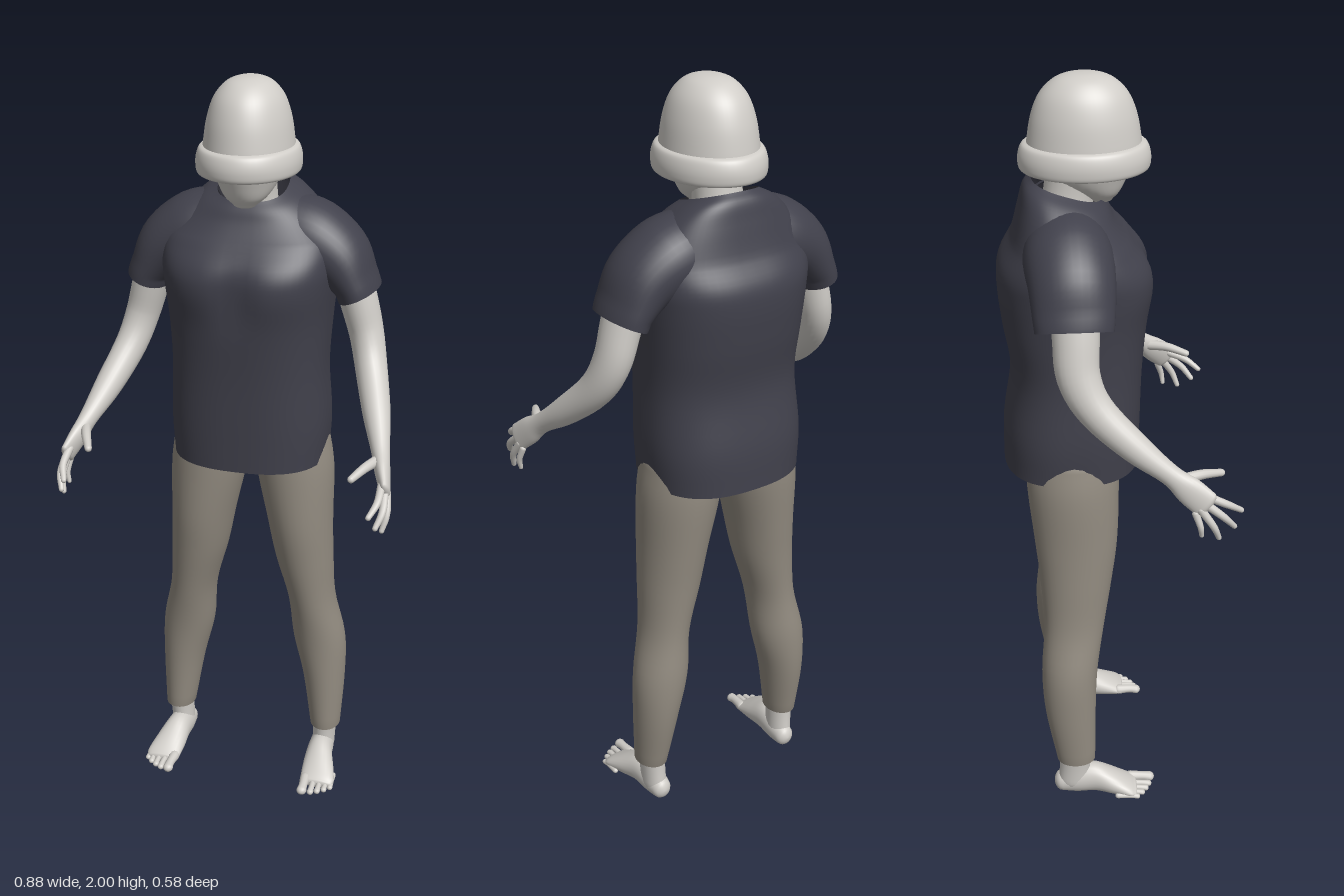
import * as THREE from 'three';

const V3 = (x, y, z) => new THREE.Vector3(x, y, z);
const mat = (name, color, side = THREE.FrontSide) => {
  const m = new THREE.MeshStandardMaterial({ color, side });
  m.name = name;
  return m;
};

// Smooth skin over cross-sections [x, y, z, halfWidth, halfDepth].
// ref: direction of halfWidth; axis: fixed section normal (else follows the path);
// caps: bulge of the start and end caps (null = open); power: squareness of the section.
function loft(rings, { ref = V3(1, 0, 0), axis = null, caps = [1, 1], seg = 24, sub = 5, power = 2, warp = null } = {}) {
  const path = new THREE.CatmullRomCurve3(rings.map(r => V3(r[0], r[1], r[2])), false, 'catmullrom');
  const size = new THREE.CatmullRomCurve3(rings.map(r => V3(r[3], r[4], 0)), false, 'catmullrom');
  const n = (rings.length - 1) * sub;
  const frames = [];
  for (let i = 0; i <= n; i++) {
    const t = i / n, s = size.getPoint(t);
    frames.push({ c: path.getPoint(t), T: axis ? axis.clone() : path.getTangent(t), a: s.x, b: s.y });
  }
  const capRings = (f, sign, bulge) => [0.35, 0.7, 1.05, 1.35, 1.56].map(p => ({
    c: f.c.clone().addScaledVector(f.T, sign * bulge * Math.min(f.a, f.b) * Math.sin(p)),
    T: f.T, a: f.a * Math.cos(p), b: f.b * Math.cos(p),
  }));
  const first = frames[0], last = frames[n];
  if (caps[0] !== null) frames.unshift(...capRings(first, -1, caps[0]).reverse());
  if (caps[1] !== null) frames.push(...capRings(last, 1, caps[1]));

  const pos = [], index = [];
  const bend = v => Math.sign(v) * Math.pow(Math.abs(v), 2 / power);
  frames.forEach((f, i) => {
    const U = ref.clone().addScaledVector(f.T, -ref.dot(f.T)).normalize();
    const W = f.T.clone().cross(U);
    for (let j = 0; j < seg; j++) {
      const th = j / seg * Math.PI * 2;
      const p = f.c.clone().addScaledVector(U, f.a * bend(Math.cos(th))).addScaledVector(W, f.b * bend(Math.sin(th)));
      if (warp) warp(p);
      pos.push(p.x, p.y, p.z);
      if (i === frames.length - 1) continue;
      const k = (j + 1) % seg, a = i * seg + j, b = i * seg + k;
      index.push(a, b, b + seg, a, b + seg, a + seg);
    }
  });
  const g = new THREE.BufferGeometry();
  g.setAttribute('position', new THREE.Float32BufferAttribute(pos, 3));
  g.setIndex(index);
  g.computeVertexNormals();
  return g;
}

export function createModel() {
  const root = new THREE.Group();
  root.name = 'standingFigure';
  const pale = mat('paleSkin', 0xd0cdc8, THREE.DoubleSide);
  const navy = mat('darkShirt', 0x41414c, THREE.DoubleSide);
  const taupe = mat('taupeTrousers', 0x928b80);
  const add = (name, geo, m, parent = root) => {
    const mesh = new THREE.Mesh(geo, m);
    mesh.name = name;
    parent.add(mesh);
  };
  const Y = V3(0, 1, 0), Z = V3(0, 0, 1);

  // Shirt body: collar tilts forward, chest dips in the middle
  add('shirtBody', loft([
    [0, 0.99, -0.113, 0.207, 0.177], [0, 1.1, -0.11, 0.213, 0.177], [0, 1.25, -0.097, 0.206, 0.169],
    [0, 1.38, -0.1, 0.212, 0.184], [0, 1.48, -0.097, 0.222, 0.197], [0, 1.54, -0.1, 0.228, 0.188],
    [0, 1.6, -0.107, 0.222, 0.148], [0, 1.66, -0.115, 0.178, 0.12], [0, 1.7, -0.117, 0.132, 0.105],
    [0, 1.722, -0.115, 0.09, 0.086],
  ], {
    axis: Y, caps: [null, null], seg: 64, power: 2.5,
    warp: p => {
      if (p.z > -0.08) p.z -= 0.018 * Math.exp(-((p.x / 0.05) ** 2) - ((p.y - 1.48) / 0.08) ** 2);
      if (p.y > 1.6) p.y -= (p.z + 0.115) * 0.3 * (p.y - 1.6) / 0.12;
    },
  }), navy);

  // Hips inside the shirt hem
  add('trouserHips', loft([[0, 0.97, -0.115, 0.19, 0.115], [0, 1.04, -0.113, 0.197, 0.15], [0, 1.12, -0.11, 0.19, 0.15]],
    { axis: Y, caps: [0.1, 0.1], seg: 40 }), taupe);

  // Neck and head
  add('neck', loft([[0, 1.6, -0.125, 0.075, 0.07], [0, 1.7, -0.11, 0.062, 0.064], [0, 1.8, -0.09, 0.065, 0.07]], { axis: Y }), pale);
  add('head', loft([
    [0, 1.69, -0.03, 0.03, 0.03], [0, 1.71, -0.038, 0.054, 0.055], [0, 1.74, -0.058, 0.074, 0.09],
    [0, 1.78, -0.066, 0.088, 0.112], [0, 1.84, -0.066, 0.092, 0.115],
  ], { axis: Y, caps: [0.3, 0.5], seg: 36 }), pale);

  // Hat: oval dome with a rolled brim
  const hatPart = (name, pts) => {
    const curve = new THREE.SplineCurve(pts.map(p => new THREE.Vector2(p[0], p[1])));
    const g = new THREE.LatheGeometry(curve.getPoints(32), 56);
    g.scale(1, 1, 1.23);
    g.translate(0, 0, -0.07);
    add(name, g, pale);
  };
  hatPart('hatDome', [[0.116, 1.8], [0.113, 1.84], [0.104, 1.9], [0.087, 1.95], [0.06, 1.983], [0.03, 1.997], [0, 2]]);
  hatPart('hatBrim', [[0.08, 1.775], [0.112, 1.768], [0.128, 1.77], [0.132, 1.79], [0.13, 1.812], [0.123, 1.83], [0.11, 1.836]]);

  for (const s of [1, -1]) {
    const side = s > 0 ? 'left' : 'right';
    const m = rings => rings.map(([x, ...r]) => [s * x, ...r]);

    add(side + 'Sleeve', loft(m([
      [0.1, 1.6, -0.122, 0.105, 0.105], [0.16, 1.588, -0.12, 0.11, 0.1], [0.225, 1.55, -0.116, 0.105, 0.084],
      [0.268, 1.492, -0.115, 0.099, 0.061], [0.283, 1.457, -0.115, 0.095, 0.057],
    ]), { ref: Z, caps: [null, null], seg: 36 }), navy);

    // Arm running into the palm
    const arm = new THREE.Group();
    arm.name = side + 'Arm';
    root.add(arm);
    add('armAndPalm', loft(m([
      [0.25, 1.54, -0.11, 0.05, 0.06], [0.28, 1.44, -0.112, 0.049, 0.057], [0.305, 1.35, -0.108, 0.045, 0.053],
      [0.328, 1.27, -0.068, 0.042, 0.046], [0.362, 1.185, 0.022, 0.036, 0.038], [0.39, 1.122, 0.105, 0.024, 0.027],
      [0.405, 1.085, 0.15, 0.02, 0.036], [0.42, 1.052, 0.19, 0.014, 0.037],
    ])), pale, arm);
    // Fingers: knuckle, middle, tip, radius
    const fingers = {
      thumb: [[0.39, 1.105, 0.13], [0.368, 1.106, 0.185], [0.343, 1.095, 0.238], 0.0125],
      indexFinger: [[0.412, 1.068, 0.195], [0.412, 1.044, 0.245], [0.397, 1.018, 0.282], 0.0095],
      middleFinger: [[0.42, 1.054, 0.188], [0.424, 1.016, 0.235], [0.412, 0.982, 0.264], 0.0095],
      ringFinger: [[0.424, 1.04, 0.178], [0.43, 0.995, 0.209], [0.422, 0.957, 0.225], 0.009],
      littleFinger: [[0.422, 1.028, 0.166], [0.428, 0.993, 0.178], [0.423, 0.966, 0.182], 0.0078],
    };
    for (const [name, [a, b, c, r]] of Object.entries(fingers)) {
      add(name, loft(m([[...a, r * 1.1, r * 1.2], [...b, r, r], [...c, r * 0.75, r * 0.75]]), { seg: 12 }), pale, arm);
    }

    add(side + 'TrouserLeg', loft(m([
      [0.222, 0.12, -0.122, 0.043, 0.053], [0.212, 0.28, -0.135, 0.06, 0.069], [0.195, 0.41, -0.135, 0.074, 0.076],
      [0.174, 0.545, -0.12, 0.066, 0.081], [0.152, 0.68, -0.112, 0.08, 0.096], [0.138, 0.8, -0.11, 0.09, 0.11],
      [0.121, 0.95, -0.115, 0.105, 0.12], [0.112, 1.05, -0.115, 0.098, 0.118],
    ]), { axis: Y, caps: [0.05, 0.1], seg: 32 }), taupe);

    // Foot with flat sole, ankle and toes
    const foot = new THREE.Group();
    foot.name = side + 'Foot';
    root.add(foot);
    const flat = p => { p.y = Math.max(p.y, 0); };
    add('ankle', loft(m([[0.217, 0.04, -0.128, 0.032, 0.045], [0.219, 0.09, -0.126, 0.033, 0.043], [0.222, 0.15, -0.123, 0.036, 0.045]]),
      { axis: Y }), pale, foot);
    add('footBody', loft(m([
      [0.214, 0.032, -0.162, 0.028, 0.032], [0.216, 0.04, -0.12, 0.034, 0.044], [0.219, 0.044, -0.07, 0.037, 0.045],
      [0.226, 0.031, -0.02, 0.045, 0.035], [0.233, 0.018, 0.025, 0.049, 0.021], [0.232, 0.013, 0.042, 0.046, 0.014],
    ]), { axis: Z, caps: [0.8, 0.5], warp: flat }), pale, foot);
    // Toes: x, tip z, radius
    [[0.201, 0.088, 0.0145], [0.225, 0.083, 0.0095], [0.243, 0.074, 0.009], [0.26, 0.062, 0.0085], [0.275, 0.047, 0.008]]
      .forEach(([x, z, r], i) => add('toe' + (i + 1), loft(m([
        [x - 0.002, r + 0.004, z - 0.055, r, r], [x, r + 0.003, z - 0.02, r * 0.85, r * 0.85], [x, r, z, r, r * 0.9],
      ]), { seg: 12, warp: flat }), pale, foot));
  }
  return root;
}
